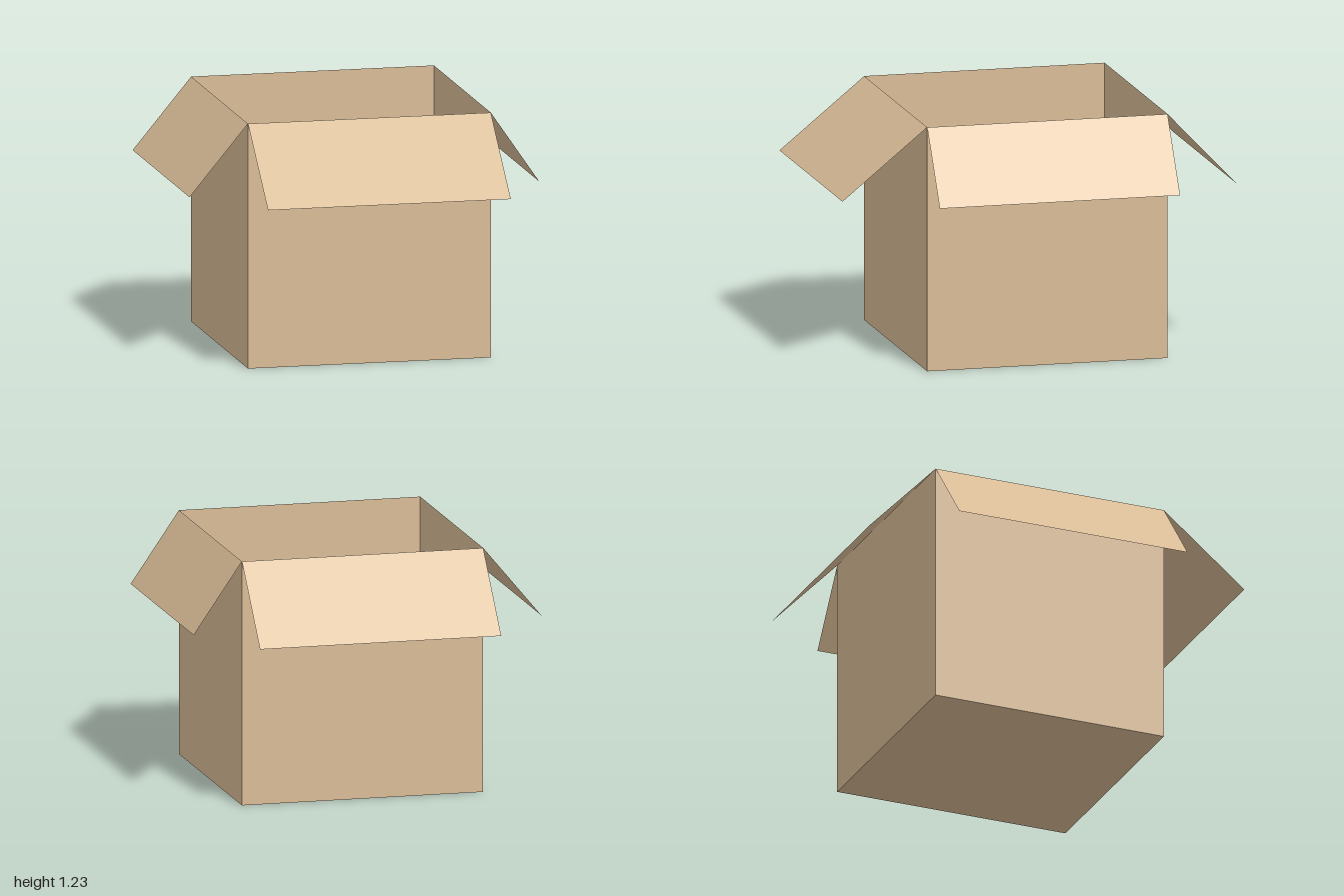
import * as THREE from 'three';

const cardboard = new THREE.MeshStandardMaterial({ color: 0xd8bb96, side: THREE.DoubleSide });
cardboard.name = 'cardboard';

// Box extents
const X0 = -0.59, X1 = 0.635, Z0 = -0.65, Z1 = 0.57, H = 1.226;

// Flat sheet from corners a, b, c, d, counter-clockwise seen from outside
function sheet(name, a, b, c, d) {
  const g = new THREE.BufferGeometry();
  g.setAttribute('position', new THREE.Float32BufferAttribute([...a, ...b, ...c, ...d], 3));
  g.setIndex([0, 1, 2, 0, 2, 3]);
  g.computeVertexNormals();
  const mesh = new THREE.Mesh(g, cardboard);
  mesh.name = name;
  return mesh;
}

export function createModel() {
  const box = new THREE.Group();
  box.name = 'openBox';

  box.add(sheet('floor', [X0, 0, Z0], [X1, 0, Z0], [X1, 0, Z1], [X0, 0, Z1]));

  // Each side: wall from corner p to q, flap folded out by (out) and down by (drop)
  const sides = [
    { name: 'front', p: [X0, Z1], q: [X1, Z1], out: [0, 0.43], drop: 0.35 },
    { name: 'left', p: [X1, Z1], q: [X1, Z0], out: [0.245, 0], drop: 0.357 },
    { name: 'back', p: [X1, Z0], q: [X0, Z0], out: [0, -0.35], drop: 0.368 },
    { name: 'right', p: [X0, Z0], q: [X0, Z1], out: [-0.295, 0], drop: 0.355 },
  ];
  for (const { name, p, q, out, drop } of sides) {
    const topP = [p[0], H, p[1]], topQ = [q[0], H, q[1]];
    box.add(sheet(name + 'Wall', [p[0], 0, p[1]], [q[0], 0, q[1]], topQ, topP));
    const edge = (c) => [c[0] + out[0], H - drop, c[1] + out[1]];
    box.add(sheet(name + 'Flap', edge(p), edge(q), topQ, topP));
  }
  return box;
}
